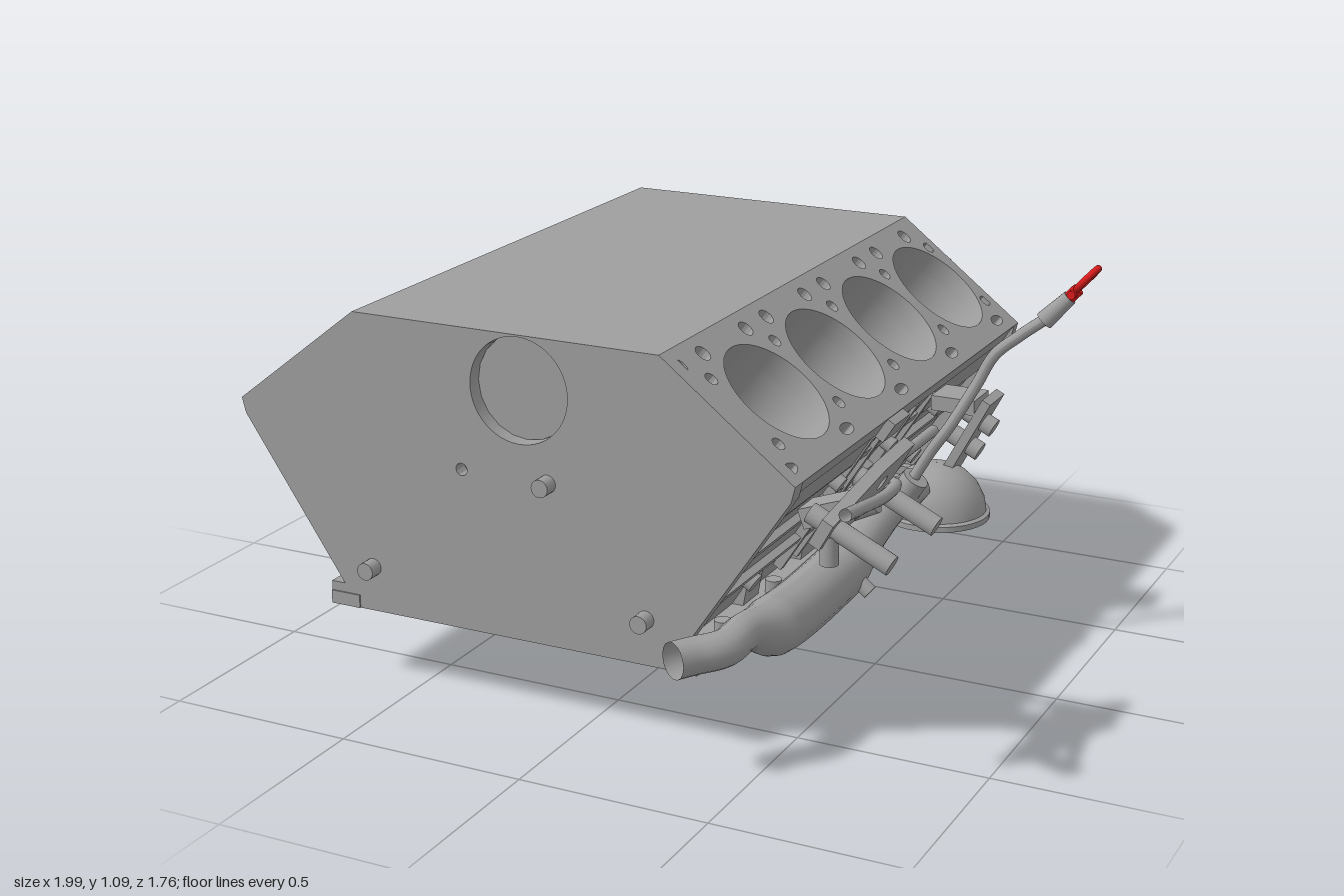
import * as THREE from 'three';
import { toCreasedNormals } from 'three/addons/utils/BufferGeometryUtils.js';

const CX = -0.205, FRONT = 0.69, BACK = -0.845;
const grey = new THREE.MeshStandardMaterial({ color: 0x9e9e9e });
const thin = new THREE.MeshStandardMaterial({ color: 0x9e9e9e, side: THREE.DoubleSide });
const red = new THREE.MeshStandardMaterial({ color: 0xdc1c1c });
const V = (p) => new THREE.Vector3(...p);
const clamp = THREE.MathUtils.clamp;

function add(parent, name, geo, pos = [0, 0, 0], mat = grey) {
  const m = new THREE.Mesh(geo, mat);
  m.name = name;
  m.position.set(...pos);
  parent.add(m);
  return m;
}
const box = (parent, name, size, pos) => add(parent, name, new THREE.BoxGeometry(...size), pos);

// cylinder running from a to b
function rod(parent, name, a, b, r, r2 = r, mat = grey) {
  const d = V(b).sub(V(a));
  const m = add(parent, name, new THREE.CylinderGeometry(r2, r, d.length(), 20),
    V(a).addScaledVector(d, 0.5).toArray(), mat);
  m.quaternion.setFromUnitVectors(new THREE.Vector3(0, 1, 0), d.normalize());
  return m;
}

// curved pipe whose radius follows radiusAt(t)
function pipe(parent, name, pts, radiusAt) {
  const curve = new THREE.CatmullRomCurve3(pts.map(V), false, 'centripetal');
  const seg = 64, sides = 16;
  const geo = new THREE.TubeGeometry(curve, seg, 1, sides), p = geo.attributes.position;
  for (let i = 0; i < p.count; i++) {
    const t = Math.floor(i / (sides + 1)) / seg, c = curve.getPointAt(t);
    const v = new THREE.Vector3().fromBufferAttribute(p, i).sub(c).multiplyScalar(radiusAt(t)).add(c);
    p.setXYZ(i, v.x, v.y, v.z);
  }
  geo.computeVertexNormals();
  return add(parent, name, geo, [0, 0, 0], thin);
}

const poly = (pts) => new THREE.Shape(pts.map(([x, y]) => new THREE.Vector2(x, y)));
const mirrored = (half) => [...half, ...half.map(([x, y]) => [-x, y]).reverse()];
const disc = (x, y, r) => new THREE.Path().absarc(x, y, r, 0, Math.PI * 2, true);
const slot = (x, y, r, h) => new THREE.Path().absellipse(x, y, r, h, 0, Math.PI * 2, true);
const extrude = (shape, depth) => toCreasedNormals(
  new THREE.ExtrudeGeometry(shape, { depth, bevelEnabled: false, curveSegments: 32 }), 0.5);

// sloped frame: X runs down the slope from a to b, Y points outward
function slope(parent, name, s, a, b) {
  const g = new THREE.Group();
  g.name = name;
  const v = new THREE.Vector3(s * (b[0] - a[0]), b[1] - a[1], 0).normalize();
  const n = new THREE.Vector3(-v.y * s, v.x * s, 0);
  g.quaternion.setFromRotationMatrix(new THREE.Matrix4().makeBasis(v, n, v.clone().cross(n)));
  g.position.set(CX + s * a[0], a[1], 0);
  parent.add(g);
  return g;
}

function cylinderBank(parent, s, bores) {
  const g = slope(parent, s > 0 ? 'leftBank' : 'rightBank', s, [0.425, 1], [0.775, 0.73]);
  const width = 0.442, y = (z) => -z * s;
  const slab = (z0, z1) => {
    const lo = Math.min(y(z0), y(z1)), hi = Math.max(y(z0), y(z1));
    const sh = poly([[0, lo], [width, lo], [width, hi], [0, hi]]);
    bores.forEach((z) => sh.holes.push(disc(0.226, y(z), 0.153)));
    return sh;
  };
  const place = (name, sh, depth, top) =>
    add(g, name, extrude(sh, depth).rotateX(-Math.PI / 2), [0, top - depth, 0]);
  // deck with bolt and coolant holes
  const deck = slab(BACK, FRONT);
  const stations = [bores[0] + 0.178, ...bores.map((z) => z - 0.178)];
  stations.forEach((raw) => {
    const z = clamp(raw, -0.8, 0.645), zo = clamp(raw + s * 0.07, -0.795, 0.645);
    deck.holes.push(disc(0.115, y(z), 0.018), disc(0.335, y(z), 0.018), slot(0.4, y(zo), 0.016, 0.032));
    [-0.06, 0.06].forEach((d) => {
      if (z + d < 0.66 && z + d > -0.815) deck.holes.push(disc(0.05, y(z + d), 0.022));
    });
  });
  place('cylinderDeck', deck, 0.06, 0);
  place('cylinderBores', slab(-0.812, FRONT - 0.003), 0.36, -0.06);
}

function sideWall(parent, s) {
  const g = slope(parent, s > 0 ? 'leftWall' : 'rightWall', s, [0.775, 0.73], [0.485, 0.27]);
  const len = FRONT - BACK, zc = s * (FRONT + BACK) / 2;
  box(g, 'wallPanel', [0.53, 0.04, len - 0.01], [0.325, -0.045, zc]);
  box(g, 'upperLip', [0.05, 0.02, len - 0.01], [0.035, -0.012, zc]);
  [[0.15, 0.025], [0.285, 0.018], [0.425, 0.018]].forEach(([v, w]) =>
    box(g, 'longRib', [w, 0.025, len - 0.15], [v, -0.017, zc]));
  const ribs = s > 0 ? [0.13, 0.03, -0.17, -0.29] : [0.14, 0.05, -0.2, -0.3];
  ribs.forEach((z) => box(g, 'uprightRib', [0.465, 0.03, 0.022], [0.298, -0.015, s * z]));
  (s > 0 ? [0.07] : [0.07, -0.25]).forEach((z) =>
    box(g, 'mountPad', [0.06, 0.045, 0.1], [0.035, 0.0, s * z]));
  [0.18, -0.16, -0.5].forEach((z) =>
    rod(g, 'wallPlug', [0.2, -0.03, s * z], [0.2, 0.01, s * z], 0.022));
  [0.35, -0.03, -0.38, -0.74].forEach((z) =>
    rod(g, 'lowerBoss', [0.48, -0.03, s * z], [0.48, 0.0, s * z], 0.026));
  // panels raised above the top rib
  [[-0.56, 0.54], [0.41, 0.54]].forEach(([z, w]) =>
    box(g, 'raisedPanel', [0.13, 0.02, w], [0.09, -0.014, s * z]));
}

function crankcase(g) {
  const len = FRONT - BACK, zc = (FRONT + BACK) / 2;
  for (const s of [-1, 1]) {
    box(g, 'panRail', [0.085, 0.035, len + 0.008], [CX + s * 0.4825, 0.2275, zc]);
    [0.5, 0.2, -0.14, -0.42, -0.65].forEach((z) =>
      rod(g, 'railBolt', [CX + s * 0.5, 0.24, z], [CX + s * 0.5, 0.28, z], 0.022));
  }
  for (const z of [FRONT - 0.03, BACK + 0.03]) box(g, 'endRail', [1.05, 0.06, 0.06], [CX, 0.24, z]);
  // bulkheads with main bearing saddles
  const web = poly([[0.1, 0.24], [0.47, 0.24], [0.5, 0.4], [0.17, 0.66], [-0.17, 0.66], [-0.5, 0.4],
    [-0.47, 0.24], [-0.1, 0.24]]);
  web.absarc(0, 0.24, 0.1, Math.PI, 0, true);
  [0.276, -0.08, -0.435].forEach((z) => add(g, 'bulkhead', extrude(web, 0.09), [CX, 0, z - 0.045]));
}

function endPlates(g) {
  const half = [[0.485, 0.27], [0.765, 0.69], [0.775, 0.73], [0.425, 1]];
  const outline = mirrored(half);
  // front wall with cam bore and studs
  const front = poly(outline);
  front.holes.push(disc(0.045, 0.86, 0.135), disc(-0.122, 0.635, 0.016));
  add(g, 'frontPlate', extrude(front, 0.045), [CX, 0, FRONT - 0.045]);
  rod(g, 'camBoreFloor', [-0.16, 0.86, 0.62], [-0.16, 0.86, 0.65], 0.135);
  box(g, 'holeFloor', [0.06, 0.06, 0.02], [-0.327, 0.635, 0.64]);
  [[-0.6, 0.33], [0.18, 0.33], [-0.085, 0.635]].forEach(([x, y]) =>
    rod(g, 'frontStud', [x, y, 0.68], [x, y, 0.73], 0.023));

  // rear wall, rim and ribbing
  add(g, 'rearPlate', extrude(poly(outline), 0.01), [CX, 0, -0.823]);
  const ring = (name, outer, inner, depth) => {
    const sh = poly(mirrored(outer));
    sh.holes.push(new THREE.Path(mirrored(inner).map((p) => new THREE.Vector2(...p))));
    add(g, name, extrude(sh, depth), [CX, 0, -0.812 - depth]);
  };
  ring('rearRim', half, [[0.43, 0.29], [0.45, 0.33], [0.66, 0.7], [0.4, 0.93]], 0.033);
  ring('rearRib', [[0.38, 0.29], [0.56, 0.66], [0.36, 0.86]], [[0.35, 0.31], [0.525, 0.655], [0.345, 0.83]], 0.028);
  [-0.02, 0.1, 0.22].forEach((d) => box(g, 'rearUprightRib', [0.02, 0.27, 0.028], [CX + d, 0.8, -0.825]));
  add(g, 'rearBoss', new THREE.TorusGeometry(0.05, 0.016, 10, 28), [CX + 0.51, 0.8, -0.832]);
  for (const s of [-1, 1]) {
    rod(g, 'dowel', [CX + s * 0.54, 0.865, -0.82], [CX + s * 0.54, 0.865, -0.878], 0.023);
    [[0.47, 0.82], [0.6, 0.72], [0.62, 0.6]].forEach(([a, y]) => {
      if (s < 0 || y < 0.8) box(g, 'rearTab', [0.09, 0.04, 0.03], [CX + s * a, y, -0.828]).rotation.z = -s * 0.65;
    });
  }
  // curved plate closing the rear bottom
  const low = poly([[0.28, 0.22], [-0.67, 0.22], [-0.67, 0.165]]);
  low.splineThru([[-0.62, 0.115], [-0.52, 0.065], [-0.4, 0.033], [-0.2, 0.003], [0.05, 0.03], [0.13, 0.065],
    [0.21, 0.125], [0.26, 0.18], [0.28, 0.22]].map((p) => new THREE.Vector2(...p)));
  add(g, 'rearSkirt', extrude(low, 0.02), [0, 0, BACK]);
}

function oilPickup(g) {
  const ss = THREE.MathUtils.smoothstep;
  pipe(g, 'pickupPipe', [[0.34, 0.32, 0.86], [0.37, 0.32, 0.81], [0.42, 0.325, 0.75], [0.43, 0.335, 0.66],
    [0.44, 0.3, 0.52], [0.44, 0.297, 0.13], [0.45, 0.315, 0.06], [0.48, 0.39, -0.005], [0.5, 0.43, -0.06],
    [0.53, 0.45, -0.11], [0.545, 0.465, -0.155]],
  (t) => 0.046 + 0.03 * ss(t, 0.2, 0.34) - 0.02 * ss(t, 0.68, 0.8) - 0.014 * ss(t, 0.88, 1));
  rod(g, 'pipeNub', [0.45, 0.32, 0.12], [0.53, 0.255, 0.12], 0.02);
  const bowl = [[0.13, 0], [0.145, 0], [0.145, 0.015], [0.135, 0.02], [0.13, 0.05], [0.11, 0.09],
    [0.08, 0.12], [0.04, 0.14], [0.001, 0.145]].map((p) => new THREE.Vector2(...p));
  add(g, 'pickupBowl', toCreasedNormals(new THREE.LatheGeometry(bowl, 40), 0.7), [0.56, 0.35, -0.255], thin);
  const plate = box(g, 'pickupBracket', [0.025, 0.25, 0.11], [0.635, 0.57, -0.305]);
  plate.rotation.z = -0.48;
  box(g, 'bracketFoot', [0.12, 0.04, 0.11], [0.6, 0.66, -0.305]);
  [0.615, 0.545].forEach((y) => {
    const x = 0.635 + (y - 0.57) * 0.52;
    rod(g, 'bracketBolt', [x - 0.05, y + 0.025, -0.305], [x + 0.04, y - 0.02, -0.305], 0.026);
  });
}

function dipstick(g) {
  rod(g, 'dipstickCollar', [0.53, 0.45, -0.09], [0.565, 0.505, -0.09], 0.036);
  pipe(g, 'dipstickTube', [[0.545, 0.48, -0.09], [0.6, 0.58, -0.1], [0.645, 0.65, -0.11], [0.7, 0.76, -0.15],
    [0.74, 0.84, -0.165], [0.8, 0.895, -0.175], [0.87, 0.95, -0.19]], () => 0.015);
  rod(g, 'dipstickSleeve', [0.86, 0.94, -0.188], [0.92, 1.005, -0.2], 0.025, 0.019);
  rod(g, 'dipstickCap', [0.918, 1.003, -0.2], [0.94, 1.028, -0.204], 0.016, 0.016, red);
  rod(g, 'dipstickGrip', [0.93, 1.017, -0.175], [0.93, 1.017, -0.232], 0.011, 0.011, red);
  const ring = add(g, 'dipstickRing', new THREE.TorusGeometry(0.037, 0.009, 10, 28), [0.96, 1.055, -0.21], red);
  ring.quaternion.setFromUnitVectors(V([0, 0, 1]), V([0.76, -0.65, 0]).normalize());
}

function frontBracket(g) {
  pipe(g, 'coolantLine', [[0.77, 0.755, 0.87], [0.765, 0.735, 0.75], [0.755, 0.71, 0.6], [0.74, 0.705, 0.5],
    [0.69, 0.69, 0.47], [0.62, 0.64, 0.465], [0.575, 0.6, 0.44], [0.56, 0.595, 0.38], [0.56, 0.595, 0.1],
    [0.56, 0.595, -0.22]], () => 0.015);
  // tilted bracket plate, drawn along z and up its slope
  const sh = poly([[0.48, 0.1], [0.5, -0.07], [0.83, -0.08], [0.83, -0.01], [0.63, 0.08]]);
  sh.holes.push(disc(0.58, 0.02, 0.02));
  const plate = add(g, 'bracketPlate', extrude(sh, 0.03).rotateY(-Math.PI / 2), [0.73, 0.715, 0]);
  plate.rotation.z = -0.5;
  box(g, 'bracketArm', [0.14, 0.05, 0.09], [0.63, 0.66, 0.6]).rotation.z = 0.35;
  [0.51, 0.785].forEach((z) => rod(g, 'hosePeg', [0.65, 0.715, z], [0.85, 0.62, z], 0.025));
  rod(g, 'bracketStud', [0.58, 0.6, 0.56], [0.72, 0.67, 0.56], 0.02);
  rod(g, 'bracketPin', [0.7, 0.67, 0.79], [0.7, 0.6, 0.79], 0.022);
}

export function createModel() {
  const g = new THREE.Group();
  g.name = 'engineBlock';
  cylinderBank(g, 1, [0.42, 0.065, -0.295, -0.65]);
  cylinderBank(g, -1, [0.49, 0.135, -0.22, -0.58]);
  box(g, 'valleyCover', [0.85, 0.05, 0.647 - BACK], [CX, 0.975, (0.647 + BACK) / 2]);
  for (const s of [-1, 1]) sideWall(g, s);
  crankcase(g);
  endPlates(g);
  oilPickup(g);
  dipstick(g);
  frontBracket(g);
  return g;
}
